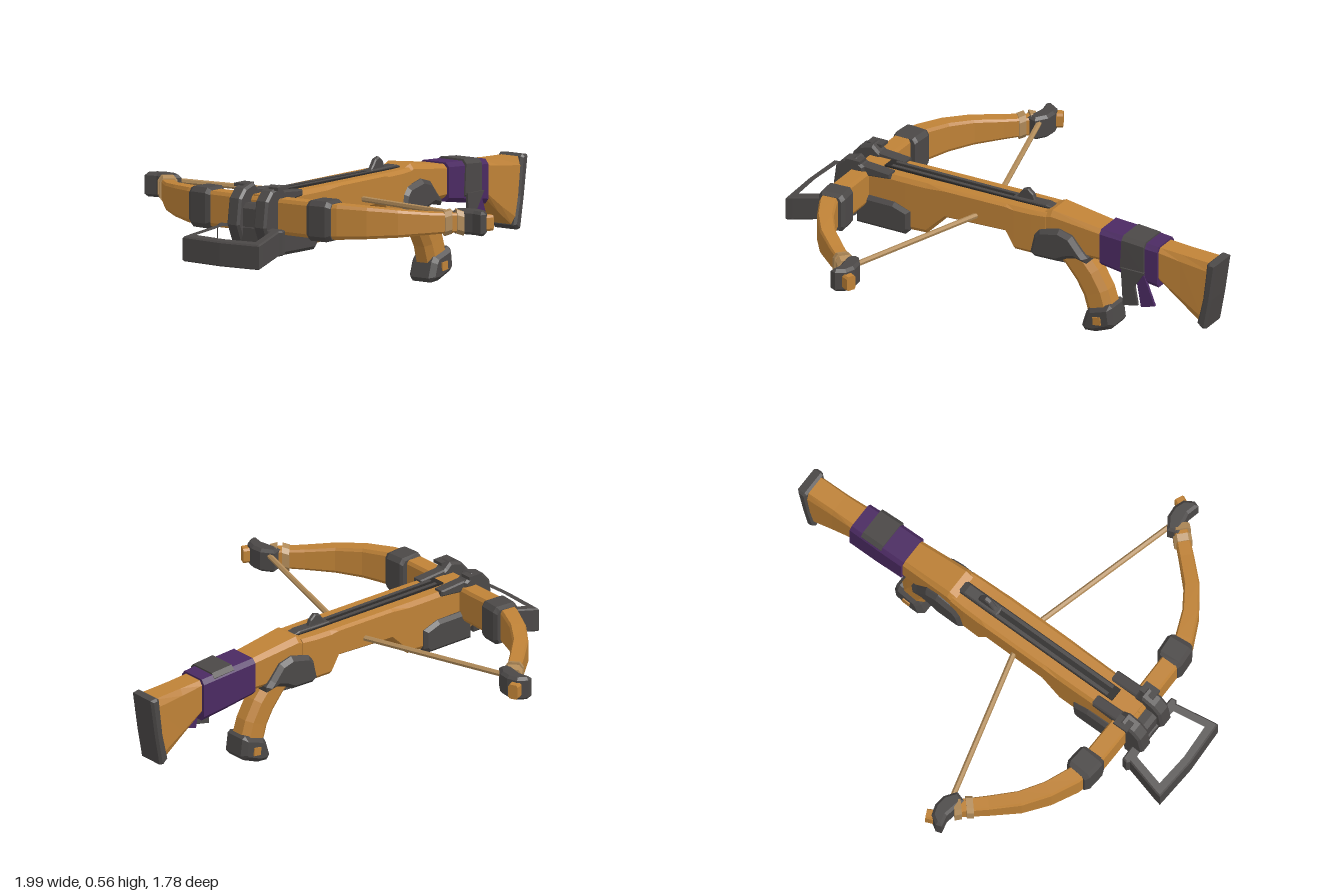
import * as THREE from 'three';

const mat = (name, color) => {
  const m = new THREE.MeshStandardMaterial({ color });
  m.name = name;
  m.flatShading = true;
  return m;
};
const V = (x, y, z) => new THREE.Vector3(x, y, z);

// Octagonal cross-section spanned by two half-axis vectors, k = uncut share of each side
function ring(c, U, W, k = 0.7) {
  return [[1, -k], [1, k], [k, 1], [-k, 1], [-1, k], [-1, -k], [-k, -1], [k, -1]]
    .map(([a, b]) => c.clone().addScaledVector(U, a).addScaledVector(W, b));
}

// Closed skin over a list of rings
function loft(rings) {
  const pos = [];
  const tri = (...ps) => ps.forEach(p => pos.push(p.x, p.y, p.z));
  const n = rings[0].length, first = rings[0], last = rings[rings.length - 1];
  for (let i = 0; i < rings.length - 1; i++) {
    for (let j = 0; j < n; j++) {
      const k = (j + 1) % n, p = rings[i], q = rings[i + 1];
      tri(p[j], p[k], q[k]);
      tri(p[j], q[k], q[j]);
    }
  }
  for (let j = 1; j < n - 1; j++) {
    tri(last[0], last[j], last[j + 1]);
    tri(first[0], first[j + 1], first[j]);
  }
  const g = new THREE.BufferGeometry();
  g.setAttribute('position', new THREE.Float32BufferAttribute(pos, 3));
  g.computeVertexNormals();
  return g;
}

// Sections along x: [x, bottom, top, half width, bottom shift, z shift]
const beam = (rows, k) => loft(rows.map(([x, b, t, w, lean = 0, z = 0]) =>
  ring(V(x + lean / 2, (b + t) / 2, z), V(-lean / 2, (t - b) / 2, 0), V(0, 0, w), k)));

// Bent bar: [x, y, z, half thickness, half width along axis]
function sweep(rows, axis, k) {
  const pts = rows.map(r => V(r[0], r[1], r[2]));
  return loft(rows.map((r, i) => {
    const t = pts[Math.min(i + 1, pts.length - 1)].clone().sub(pts[Math.max(i - 1, 0)]).normalize();
    return ring(pts[i], axis.clone().cross(t).multiplyScalar(r[3]), axis.clone().multiplyScalar(r[4]), k);
  }));
}

// Side-profile slab centred on z
function slab(points, depth, z = 0, bevel = 0.01, hole) {
  const shape = new THREE.Shape(points.map(p => new THREE.Vector2(...p)));
  if (hole) shape.holes.push(new THREE.Path(hole.map(p => new THREE.Vector2(...p))));
  const g = new THREE.ExtrudeGeometry(shape, {
    depth: depth - 2 * bevel, bevelEnabled: bevel > 0, bevelThickness: bevel,
    bevelSize: bevel, bevelOffset: -bevel, bevelSegments: 1,
  });
  return g.translate(0, 0, z - depth / 2 + bevel);
}

const box = (w, h, d, x, y, z) => new THREE.BoxGeometry(w, h, d).translate(x, y, z);

function rod(a, b, r) {
  const d = b.clone().sub(a);
  const g = new THREE.CylinderGeometry(r, r, d.length(), 6);
  g.applyQuaternion(new THREE.Quaternion().setFromUnitVectors(V(0, 1, 0), d.normalize()));
  const m = a.clone().add(b).multiplyScalar(0.5);
  return g.translate(m.x, m.y, m.z);
}

export function createModel() {
  const wood = mat('wood', 0xbf8237), iron = mat('iron', 0x4b4847), purple = mat('purple cloth', 0x4b2a62);
  const cord = mat('cord', 0xb28c5a), dark = mat('groove', 0x2b2928);
  const model = new THREE.Group();
  model.name = 'crossbow';
  const add = (name, geo, m) => {
    const mesh = new THREE.Mesh(geo, m);
    mesh.name = name;
    model.add(mesh);
  };
  const Y = V(0, 1, 0), Z = V(0, 0, 1);

  // Wooden stock, fore end to butt
  add('foreStock', beam([
    [-0.72, 0.28, 0.5, 0.08], [-0.48, 0.27, 0.503, 0.085], [-0.38, 0.275, 0.504, 0.086], [-0.29, 0.37, 0.505, 0.086],
    [0, 0.382, 0.507, 0.086], [0.04, 0.31, 0.507, 0.086], [0.12, 0.31, 0.508, 0.084], [0.19, 0.34, 0.51, 0.08],
  ], 0.84), wood);
  add('rearStock', beam([
    [0.17, 0.34, 0.508, 0.076], [0.21, 0.34, 0.525, 0.076], [0.45, 0.35, 0.492, 0.067], [0.72, 0.32, 0.474, 0.058],
    [0.82, 0.245, 0.468, 0.056], [0.97, 0.175, 0.462, 0.058, -0.055],
  ], 0.75), wood);
  add('buttPlate', slab([[0.95, 0.463], [0.962, 0.472], [0.995, 0.468], [0.97, 0.3], [0.945, 0.163], [0.925, 0.16], [0.903, 0.18], [0.93, 0.3]], 0.132), iron);

  // Cloth wrap with its loose ends
  add('clothWrap', beam([[0.445, 0.335, 0.499, 0.077], [0.58, 0.315, 0.492, 0.076], [0.717, 0.295, 0.482, 0.071]], 0.78), purple);
  add('clothBand', beam([[0.555, 0.335, 0.501, 0.077, -0.01, 0.006], [0.66, 0.33, 0.493, 0.075, 0, 0.006]], 0.78), iron);
  add('greyClothEnd', slab([[0.555, 0.36], [0.665, 0.36], [0.62, 0.29], [0.635, 0.205], [0.565, 0.19]], 0.012, 0.084, 0), iron);
  add('purpleClothEnd', slab([[0.615, 0.36], [0.66, 0.34], [0.71, 0.215], [0.645, 0.195]], 0.012, 0.072, 0), purple);

  // Grip, pommel and trigger
  add('grip', sweep([[0.23, 0.38, 0, 0.06, 0.05], [0.3, 0.32, 0, 0.062, 0.05], [0.36, 0.25, 0, 0.063, 0.05],
    [0.4, 0.18, 0, 0.063, 0.05], [0.425, 0.1, 0, 0.063, 0.052]], Z, 0.55), wood);
  add('pommel', slab([[0.365, 0.09], [0.345, 0.025], [0.36, 0.006], [0.41, 0.01], [0.485, 0.04], [0.5, 0.06],
    [0.49, 0.135], [0.475, 0.146], [0.38, 0.115]], 0.134, 0, 0.02), iron);
  add('triggerHousing', slab([[0.115, 0.32], [0.135, 0.405], [0.16, 0.435], [0.255, 0.457], [0.315, 0.44], [0.365, 0.38],
    [0.39, 0.355], [0.385, 0.33], [0.33, 0.342], [0.29, 0.33], [0.25, 0.308], [0.14, 0.305]], 0.196, 0, 0.018), iron);
  add('trigger', slab([[0.13, 0.32], [0.145, 0.285], [0.2, 0.268], [0.245, 0.27], [0.235, 0.32]], 0.035, 0, 0.006), iron);

  // Bolt groove, rail, catch and sight
  add('groove', box(0.82, 0.008, 0.06, -0.2, 0.508, 0), dark);
  for (const s of [1, -1]) add('rail', box(0.76, 0.014, 0.015, -0.2, 0.508, s * 0.018), iron);
  add('catch', slab([[-0.02, 0.5], [0, 0.518], [0.16, 0.522], [0.195, 0.512], [0.195, 0.5]], 0.05, 0, 0.004), iron);
  add('sight', slab([[0, 0.505], [0.02, 0.53], [0.04, 0.558], [0.065, 0.566], [0.09, 0.545], [0.105, 0.505]], 0.024, 0, 0.005), iron);

  // Nose irons
  add('noseBlock', slab([[-0.79, 0.3], [-0.79, 0.45], [-0.77, 0.47], [-0.7, 0.47], [-0.7, 0.27], [-0.77, 0.27]], 0.12), iron);
  add('lowerBracket', slab([[-0.71, 0.252], [-0.475, 0.252], [-0.455, 0.275], [-0.455, 0.36], [-0.53, 0.385], [-0.71, 0.385]], 0.205, 0, 0.015), iron);
  add('stirrup', (() => {
    const outer = [[-0.995, 0], [-0.985, 0.2], [-0.955, 0.195], [-0.8, 0.16], [-0.79, 0.172], [-0.768, 0.168], [-0.762, 0]];
    const inner = [[-0.966, 0], [-0.955, 0.162], [-0.805, 0.13], [-0.79, 0]];
    const mirror = a => [...a, ...a.slice(1, -1).reverse().map(([x, z]) => [x, -z])];
    const g = slab(mirror(outer), 0.105, 0, 0.006, mirror(inner)).rotateX(Math.PI / 2);
    const p = g.attributes.position;
    for (let i = 0; i < p.count; i++) p.setY(i, p.getY(i) + 0.322 + 0.17 * (p.getX(i) + 0.78));
    g.computeVertexNormals();
    return g;
  })(), iron);

  for (const s of [1, -1]) {
    // Hooked iron over the nose and its strap along the top
    add('noseIron', slab([[-0.775, 0.275], [-0.82, 0.38], [-0.805, 0.49], [-0.77, 0.53], [-0.71, 0.548], [-0.685, 0.525],
      [-0.67, 0.515], [-0.67, 0.49], [-0.72, 0.48], [-0.72, 0.275]], 0.065, s * 0.07, 0.01), iron);
    add('topStrap', slab([[-0.7, 0.47], [-0.7, 0.522], [-0.55, 0.511], [-0.55, 0.485]], 0.05, s * 0.067, 0.006), iron);
    add('ear', box(0.07, 0.014, 0.05, -0.715, 0.537, s * 0.09).translate(0, 0, 0), iron);

    // Bow limb with collar and tip
    add('bowLimb', sweep([
      [-0.695, 0.42, 0, 0.04, 0.073], [-0.692, 0.42, s * 0.3, 0.04, 0.075], [-0.675, 0.42, s * 0.38, 0.038, 0.073],
      [-0.625, 0.42, s * 0.49, 0.035, 0.066], [-0.555, 0.418, s * 0.59, 0.033, 0.057], [-0.46, 0.416, s * 0.68, 0.031, 0.046],
      [-0.36, 0.416, s * 0.77, 0.028, 0.038],
    ], Y, 0.8), wood);
    add('limbCollar', sweep([[-0.683, 0.42, s * 0.253, 0.052, 0.075], [-0.683, 0.42, s * 0.27, 0.06, 0.085],
      [-0.677, 0.42, s * 0.345, 0.06, 0.085], [-0.675, 0.42, s * 0.365, 0.05, 0.075]], Y, 0.75), iron);
    add('limbTip', slab([[-0.375, 0.735], [-0.33, 0.72], [-0.295, 0.77], [-0.29, 0.82], [-0.305, 0.865], [-0.345, 0.89],
      [-0.37, 0.882], [-0.358, 0.83]].map(([x, z]) => [x, z * s]), 0.102, 0, 0.012).rotateX(Math.PI / 2).translate(0, 0.417, 0), iron);
    add('tipPeg', sweep([[-0.34, 0.415, s * 0.84, 0.024, 0.035], [-0.28, 0.415, s * 0.868, 0.022, 0.032]], Y, 0.7), wood);

    // Cord lashing and bowstring
    for (const d of [-0.018, 0.018]) {
      add('lashing', sweep([[-0.395 + d, 0.417 + d / 4, s * (0.74 + d), 0.04, 0.05],
        [-0.373 + d, 0.417 - d / 4, s * (0.76 + d), 0.04, 0.05]], Y, 0.6), cord);
    }
    add('bowstring', rod(V(-0.325, 0.44, s * 0.75), V(-0.135, 0.42, s * 0.06), 0.012), cord);

    // Pommel inlay
    add('pommelInlay', slab([[0.41, 0.05], [0.447, 0.055], [0.443, 0.09], [0.408, 0.085]], 0.008, s * 0.068, 0), wood);
  }
  return model;
}
